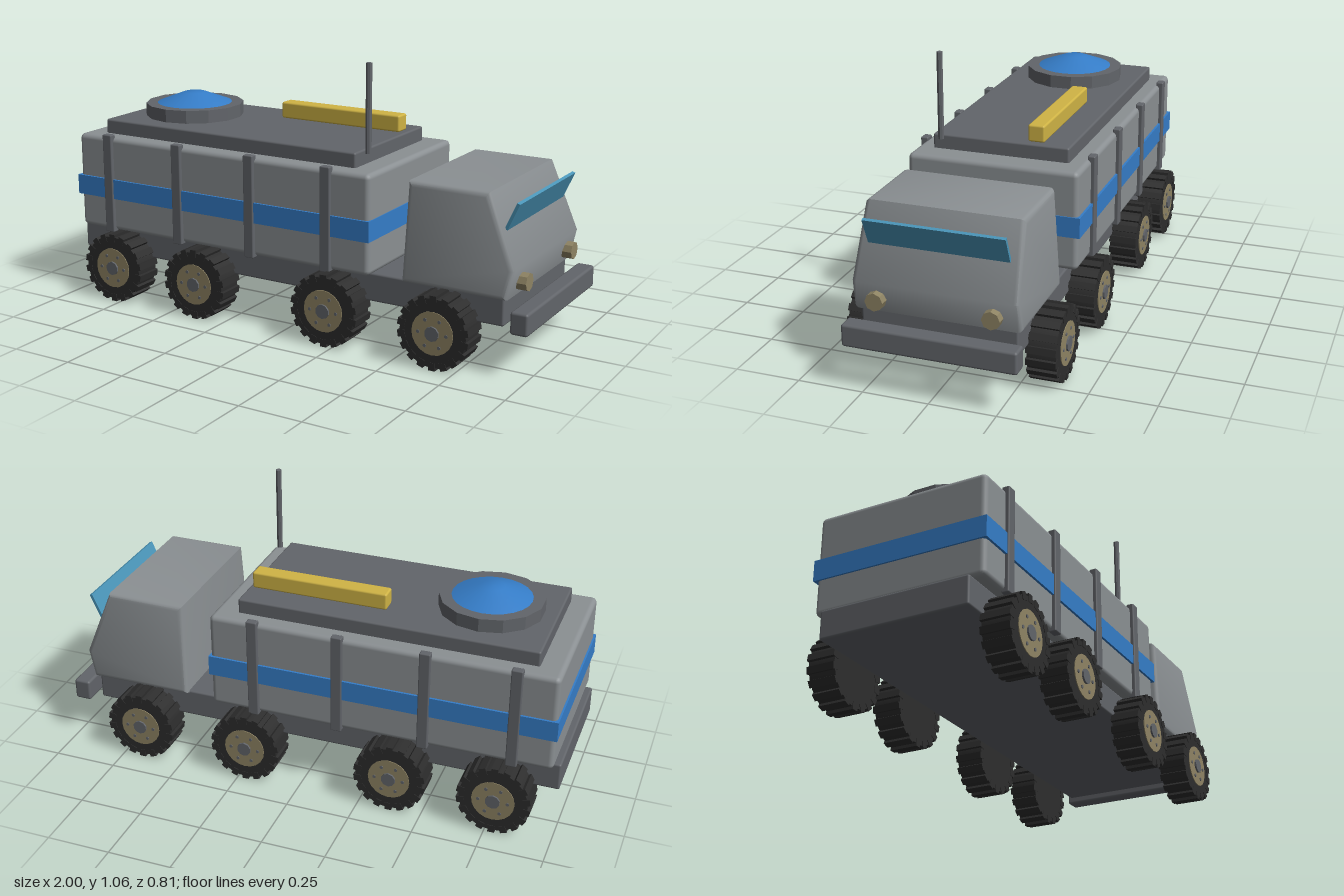
import * as THREE from 'three';
import { RoundedBoxGeometry } from 'three/addons/geometries/RoundedBoxGeometry.js';
import { toCreasedNormals } from 'three/addons/utils/BufferGeometryUtils.js';

const paint = (name, color) => {
  const m = new THREE.MeshStandardMaterial({ color });
  m.name = name;
  return m;
};

export function createModel() {
  const truck = new THREE.Group();
  truck.name = 'truck';

  const bodyGrey = paint('bodyGrey', 0x8b9093);
  const frameGrey = paint('frameGrey', 0x62656a);
  const blue = paint('stripeBlue', 0x357dc8);
  const glass = paint('windshieldBlue', 0x4a95b8);
  const yellow = paint('yellow', 0xd0b445);
  const rubber = paint('rubber', 0x2d2d2d);
  const tan = paint('tan', 0x8f8464);

  const add = (parent, name, geometry, material, x = 0, y = 0, z = 0) => {
    const mesh = new THREE.Mesh(geometry, material);
    mesh.name = name;
    mesh.position.set(x, y, z);
    parent.add(mesh);
    return mesh;
  };

  // Rounded box given by its limits on each axis
  const block = (name, material, [x0, x1], [y0, y1], [z0, z1], r) =>
    add(truck, name, new RoundedBoxGeometry(x1 - x0, y1 - y0, z1 - z0, 2, r), material,
      (x0 + x1) / 2, (y0 + y1) / 2, (z0 + z1) / 2);

  // Chassis, bumper and cargo body
  block('chassis', frameGrey, [-1, 0.895], [0.175, 0.285], [-0.292, 0.292], 0.008);
  block('bumper', frameGrey, [0.932, 1], [0.165, 0.25], [-0.325, 0.325], 0.01);
  block('cargoBody', bodyGrey, [-0.978, 0.375], [0.282, 0.668], [-0.336, 0.336], 0.02);
  add(truck, 'stripe', new THREE.BoxGeometry(1.364, 0.08, 0.69), blue, -0.303, 0.456, 0);
  block('roofPlate', frameGrey, [-0.888, 0.28], [0.66, 0.725], [-0.27, 0.27], 0.008);

  // Upright ribs on both sides
  for (const x of [-0.824, -0.484, -0.144, 0.195]) {
    for (const s of [-1, 1]) {
      add(truck, 'rib', new RoundedBoxGeometry(0.043, 0.405, 0.03, 1, 0.005), frameGrey, x, 0.478, s * 0.336);
    }
  }

  // Roof hatch with shallow dome
  add(truck, 'hatchRing', toCreasedNormals(new THREE.CylinderGeometry(0.2, 0.2, 0.056, 14), 0.3),
    frameGrey, -0.638, 0.749, 0);
  const dome = new THREE.LatheGeometry([
    new THREE.Vector2(0.158, 0.775), new THREE.Vector2(0.046, 0.818), new THREE.Vector2(0, 0.819),
  ], 24);
  add(truck, 'hatchDome', dome, blue, -0.638, 0, 0);

  // Roof bar and antenna
  block('roofBar', yellow, [-0.278, 0.262], [0.728, 0.794], [-0.168, -0.103], 0.008);
  add(truck, 'antenna', toCreasedNormals(new THREE.CylinderGeometry(0.012, 0.012, 0.337, 8), 0.3),
    frameGrey, 0.31, 0.887, 0.225);

  // Cab: bevelled side profile, narrowed towards the roof
  const b = 0.02;
  const profile = new THREE.Shape([
    [0.517, 0.298], [0.893, 0.298], [0.914, 0.388], [0.813, 0.637], [0.53, 0.637],
  ].map(([x, y]) => new THREE.Vector2(x, y)));
  const cab = new THREE.ExtrudeGeometry(profile, {
    depth: 0.63 - 2 * b, bevelThickness: b, bevelSize: b, bevelSegments: 3,
  });
  cab.translate(0, 0, b - 0.315);
  const p = cab.attributes.position;
  for (let i = 0; i < p.count; i++) {
    p.setZ(i, p.getZ(i) * (1 - 0.065 * (p.getY(i) - 0.278) / 0.38));
  }
  add(truck, 'cab', toCreasedNormals(cab, 0.75), bodyGrey);

  // Forward-leaning windshield panel
  const screen = add(truck, 'windshield', new THREE.BoxGeometry(0.012, 0.108, 0.522), glass, 0.902, 0.573, 0);
  screen.rotation.z = -0.42;

  // Headlights
  for (const s of [-1, 1]) {
    const lamp = add(truck, 'headlight',
      toCreasedNormals(new THREE.CylinderGeometry(0.034, 0.034, 0.06, 8), 0.3), tan, 0.927, 0.331, s * 0.215);
    lamp.rotation.z = Math.PI / 2;
  }

  // Disc whose axis runs along z
  const disc = (r, depth, sides) =>
    toCreasedNormals(new THREE.CylinderGeometry(r, r, depth, sides).rotateX(Math.PI / 2), 0.5);

  // Wheel with its outer face towards +z
  const makeWheel = () => {
    const wheel = new THREE.Group();
    wheel.name = 'wheel';
    add(wheel, 'tire', disc(0.131, 0.108, 28), rubber);
    for (let i = 0; i < 18; i++) {
      const a = (i / 18) * Math.PI * 2;
      const lug = add(wheel, 'treadLug', new THREE.BoxGeometry(0.026, 0.03, 0.112), rubber,
        -Math.sin(a) * 0.126, Math.cos(a) * 0.126, 0);
      lug.rotation.z = a;
    }
    add(wheel, 'rim', disc(0.082, 0.01, 20), tan, 0, 0, 0.052);
    add(wheel, 'hub', disc(0.028, 0.02, 10), frameGrey, 0, 0, 0.054);
    for (let i = 0; i < 6; i++) {
      const a = (i / 6) * Math.PI * 2;
      add(wheel, 'bolt', disc(0.007, 0.008, 6), frameGrey, Math.cos(a) * 0.056, Math.sin(a) * 0.056, 0.056);
    }
    return wheel;
  };

  // Four axles, mirrored by turning the far wheels around
  for (const x of [-0.778, -0.374, 0.217, 0.669]) {
    for (const s of [-1, 1]) {
      const wheel = makeWheel();
      wheel.position.set(x, 0.141, s * 0.341);
      if (s < 0) wheel.rotation.y = Math.PI;
      truck.add(wheel);
    }
  }
  return truck;
}
